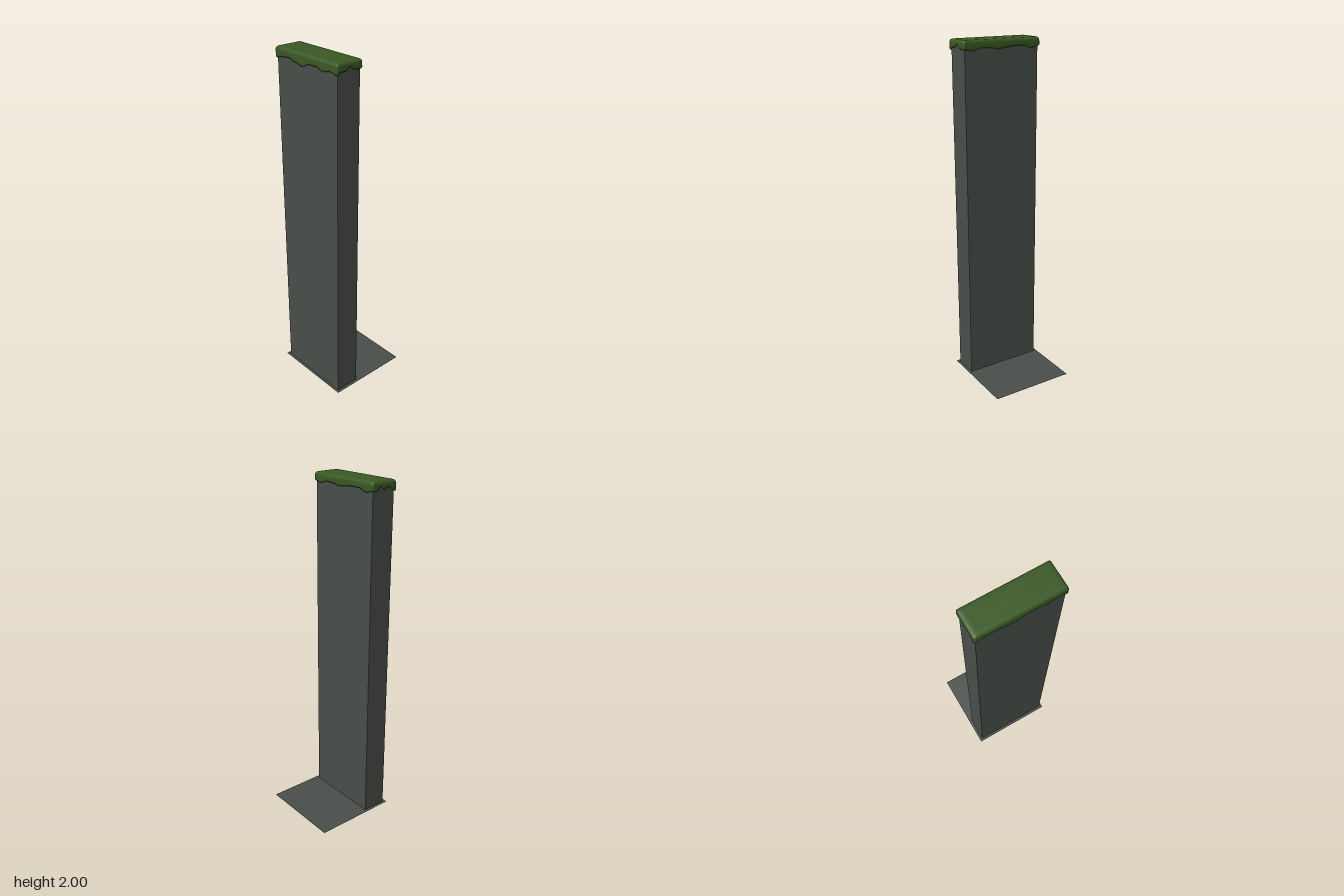
import * as THREE from 'three';

const stone = new THREE.MeshStandardMaterial({ color: 0x494e49, side: THREE.DoubleSide });
stone.name = 'stone';
const moss = new THREE.MeshStandardMaterial({ color: 0x395823, side: THREE.DoubleSide });
moss.name = 'moss';

const CX = -0.161; // pillar centre in x
const HX = 0.083, HZ = 0.243; // half sizes of the moss cap

// Depth of the moss hem below the top, evenly spaced along each side
const hem = {
  front: [0.06, 0.045, 0.046, 0.026, 0.044, 0.05, 0.05],
  back: [0.062, 0.046, 0.034, 0.048, 0.03, 0.05, 0.05],
  right: [0.05, 0.059, 0.044, 0.043, 0.048, 0.055, 0.046, 0.044, 0.056, 0.05],
  left: [0.062, 0.05, 0.045, 0.058, 0.068, 0.048, 0.046, 0.06, 0.05, 0.06],
};

function sample(list, t) {
  const f = THREE.MathUtils.clamp((t + 1) / 2, 0, 1) * (list.length - 1);
  const i = Math.min(Math.floor(f), list.length - 2);
  return THREE.MathUtils.lerp(list[i], list[i + 1], THREE.MathUtils.smoothstep(f - i, 0, 1));
}

function hemDepth(x, z) {
  const a = x / HX, b = z / HZ;
  if (Math.abs(a) > Math.abs(b)) return sample(a > 0 ? hem.right : hem.left, b / Math.abs(a));
  return sample(b > 0 ? hem.front : hem.back, a / Math.abs(b));
}

// Rounded rectangle outline, counter-clockwise seen from above
function outline() {
  const r = 0.009, s = new THREE.Shape();
  s.moveTo(HX, -HZ + r);
  s.lineTo(HX, HZ - r);
  s.quadraticCurveTo(HX, HZ, HX - r, HZ);
  s.lineTo(-HX + r, HZ);
  s.quadraticCurveTo(-HX, HZ, -HX, HZ - r);
  s.lineTo(-HX, -HZ + r);
  s.quadraticCurveTo(-HX, -HZ, -HX + r, -HZ);
  s.lineTo(HX - r, -HZ);
  s.quadraticCurveTo(HX, -HZ, HX, -HZ + r);
  return s.getSpacedPoints(200).slice(0, 200);
}

// Soft cap: rings from the tucked-in hem up over the rounded edge to the top
function mossGeometry() {
  const pts = outline(), n = pts.length;
  const rings = [
    [0.0125, d => 2 - d + 0.006],
    [0.004, d => 2 - d],
    [0.0005, d => 2 - d + 0.007],
    [0.001, () => 1.983],
    [0.003, () => 1.991],
    [0.008, () => 1.997],
    [0.016, () => 1.9995],
    [0.03, () => 2],
  ];
  const pos = [], idx = [];
  for (const [inset, height] of rings) {
    for (const p of pts) {
      const x = p.x * (1 - inset / HX), z = -p.y * (1 - inset / HZ);
      pos.push(x, height(hemDepth(p.x, -p.y)), z);
    }
  }
  for (let i = 0; i < rings.length - 1; i++) {
    for (let j = 0; j < n; j++) {
      const k = (j + 1) % n;
      const a = i * n + j, b = i * n + k, c = b + n, d = a + n;
      idx.push(a, b, c, a, c, d);
    }
  }
  const centre = pos.length / 3, last = (rings.length - 1) * n;
  pos.push(0, 2, 0);
  for (let j = 0; j < n; j++) idx.push(last + j, last + (j + 1) % n, centre);
  const g = new THREE.BufferGeometry();
  g.setAttribute('position', new THREE.Float32BufferAttribute(pos, 3));
  g.setIndex(idx);
  g.computeVertexNormals();
  return g;
}

export function createModel() {
  const model = new THREE.Group();
  model.name = 'mossyPillar';

  const add = (name, geometry, material, x, y) => {
    const mesh = new THREE.Mesh(geometry, material);
    mesh.name = name;
    mesh.position.set(x, y, 0);
    model.add(mesh);
  };

  // Flat square ground slab
  add('groundSlab', new THREE.PlaneGeometry(0.5, 0.5).rotateX(-Math.PI / 2), stone, 0, 0);
  // Tall plain pillar
  add('pillar', new THREE.BoxGeometry(0.146, 1.985, 0.464), stone, CX, 1.985 / 2);
  // Moss hanging over the top
  add('mossCap', mossGeometry(), moss, CX, 0);

  return model;
}
